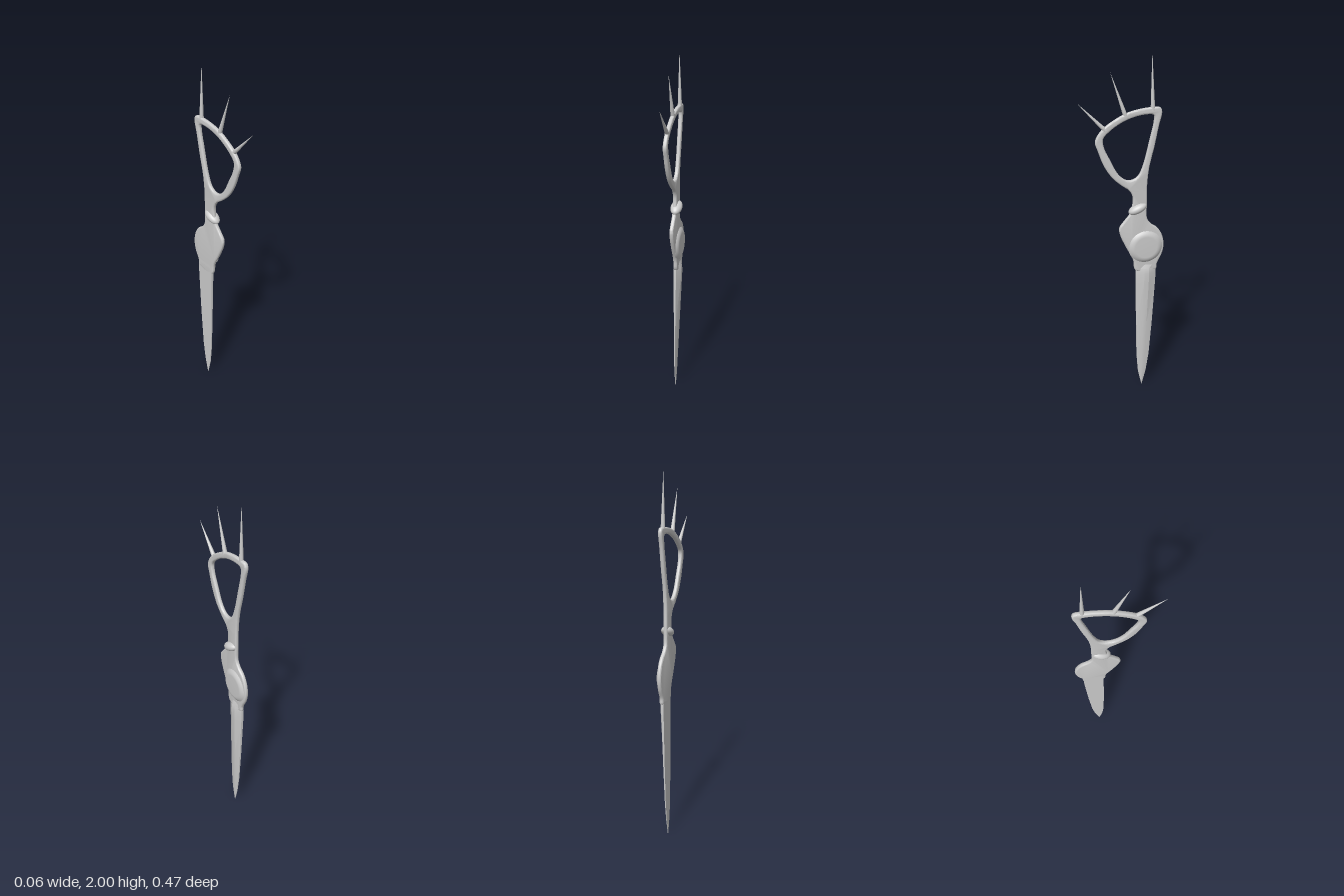
import * as THREE from 'three';
import { toCreasedNormals } from 'three/addons/utils/BufferGeometryUtils.js';

const material = new THREE.MeshStandardMaterial({ color: 0xcccccc, side: THREE.DoubleSide });
const BACK = -0.024; // flat rear plane

// Outlines are [u, y] pairs with u = -z
const smooth = (pts, n) => new THREE.CatmullRomCurve3(
  pts.map(([u, y]) => new THREE.Vector3(u, y, 0)), true, 'centripetal'
).getPoints(n).slice(0, -1).map(p => new THREE.Vector2(p.x, p.y));

const handleOutline = [
  [0.075, 0.79], [0.193, 0.79], [0.198, 0.824], [0.225, 0.882], [0.235, 0.935], [0.225, 0.993],
  [0.198, 1.04], [0.156, 1.073], [0.137, 1.105], [0.135, 1.195], [0.135, 1.3], [0.145, 1.396],
  [0.172, 1.513], [0.193, 1.619], [0.209, 1.693], [0.198, 1.715], [0.15, 1.717], [0.082, 1.709],
  [0.02, 1.693], [-0.045, 1.66], [-0.098, 1.624], [-0.13, 1.587], [-0.145, 1.55], [-0.13, 1.5],
  [-0.1, 1.42], [-0.055, 1.35], [0, 1.3], [0.035, 1.274], [0.055, 1.237], [0.055, 1.19],
  [0.04, 1.136], [0.003, 1.089], [-0.018, 1.057], [-0.013, 1.015], [0.019, 0.94], [0.061, 0.856],
];
const holeOutline = [
  [-0.103, 1.566], [-0.071, 1.603], [-0.008, 1.645], [0.061, 1.672], [0.135, 1.682], [0.165, 1.676],
  [0.166, 1.64], [0.145, 1.545], [0.114, 1.417], [0.087, 1.354], [0.055, 1.332], [0.018, 1.334],
  [-0.024, 1.37], [-0.066, 1.449], [-0.098, 1.518],
];

function handleGeometry() {
  const shape = new THREE.Shape(smooth(handleOutline, 150));
  shape.holes.push(new THREE.Path(smooth(holeOutline, 80)));
  const geo = new THREE.ExtrudeGeometry(shape, {
    depth: 0.008, bevelThickness: 0.007, bevelSize: 0.008, bevelOffset: -0.008, bevelSegments: 3,
  });
  geo.rotateY(Math.PI / 2).translate(BACK + 0.007, 0, 0);
  return toCreasedNormals(geo, 0.7);
}

// Blade cross-sections: [y, front edge u, back edge u, edge x, ridge x]
const bladeSections = [
  [0, 0.12, 0.122, -0.022, -0.021],
  [0.04, 0.111, 0.132, -0.021, -0.018],
  [0.1, 0.098, 0.146, -0.02, -0.015],
  [0.22, 0.088, 0.162, -0.018, -0.011],
  [0.44, 0.083, 0.177, -0.015, -0.003],
  [0.7, 0.079, 0.19, -0.011, 0.007],
  [0.77, 0.078, 0.193, -0.01, 0.01],
  [0.8, 0.079, 0.192, -0.01, 0.006],
  [0.84, 0.085, 0.188, -0.011, -0.008],
];

function bladeGeometry() {
  const positions = [], index = [], n = 6;
  bladeSections.forEach(([y, a, b, edge, ridge], row) => {
    const at = t => a + (b - a) * t;
    const ring = [[a, BACK], [a, edge], [at(0.38), ridge], [at(0.62), ridge], [b, edge], [b, BACK]];
    ring.forEach(([u, x]) => positions.push(x, y, -u));
    if (!row) return;
    for (let i = 0; i < n; i++) {
      const j = (i + 1) % n, lo = (row - 1) * n, hi = row * n;
      index.push(lo + i, lo + j, hi + j, lo + i, hi + j, hi + i);
    }
  });
  const geo = new THREE.BufferGeometry();
  geo.setAttribute('position', new THREE.Float32BufferAttribute(positions, 3));
  geo.setIndex(index);
  return toCreasedNormals(geo, 0.35);
}

// Spikes: base [z, y], tip [z, y]
const spikes = [
  [[0.09, 1.61], [0.235, 1.76]],
  [[-0.015, 1.68], [0.063, 1.905]],
  [[-0.16, 1.7], [-0.152, 2]],
];

export function createModel() {
  const group = new THREE.Group();
  const add = (geo, name) => {
    const mesh = new THREE.Mesh(geo, material);
    mesh.name = name;
    group.add(mesh);
    return mesh;
  };

  add(handleGeometry(), 'handle');
  add(bladeGeometry(), 'blade');

  // Round pivot cover on the outer face
  const bossProfile = [[0.098, 0], [0.094, 0.004], [0.084, 0.011], [0.074, 0.016], [0.062, 0.018], [0, 0.018]]
    .map(([r, h]) => new THREE.Vector2(r, h));
  const boss = add(new THREE.LatheGeometry(bossProfile, 40), 'pivotCover');
  boss.rotation.z = -Math.PI / 2;
  boss.position.set(-0.006, 0.935, -0.13);

  // Slanted thumb bump on the neck
  const bump = add(new THREE.SphereGeometry(1, 32, 20), 'neckBump');
  bump.scale.set(0.032, 0.026, 0.054);
  bump.rotation.x = 0.42;
  bump.position.set(-0.009, 1.165, -0.083);

  spikes.forEach(([base, tip]) => {
    const from = new THREE.Vector3(-0.012, base[1], base[0]);
    const to = new THREE.Vector3(-0.013, tip[1], tip[0]);
    const dir = to.clone().sub(from);
    const spike = add(new THREE.ConeGeometry(0.012, dir.length(), 16), 'spike');
    spike.position.copy(from).lerp(to, 0.5);
    spike.quaternion.setFromUnitVectors(new THREE.Vector3(0, 1, 0), dir.normalize());
  });

  return group;
}
